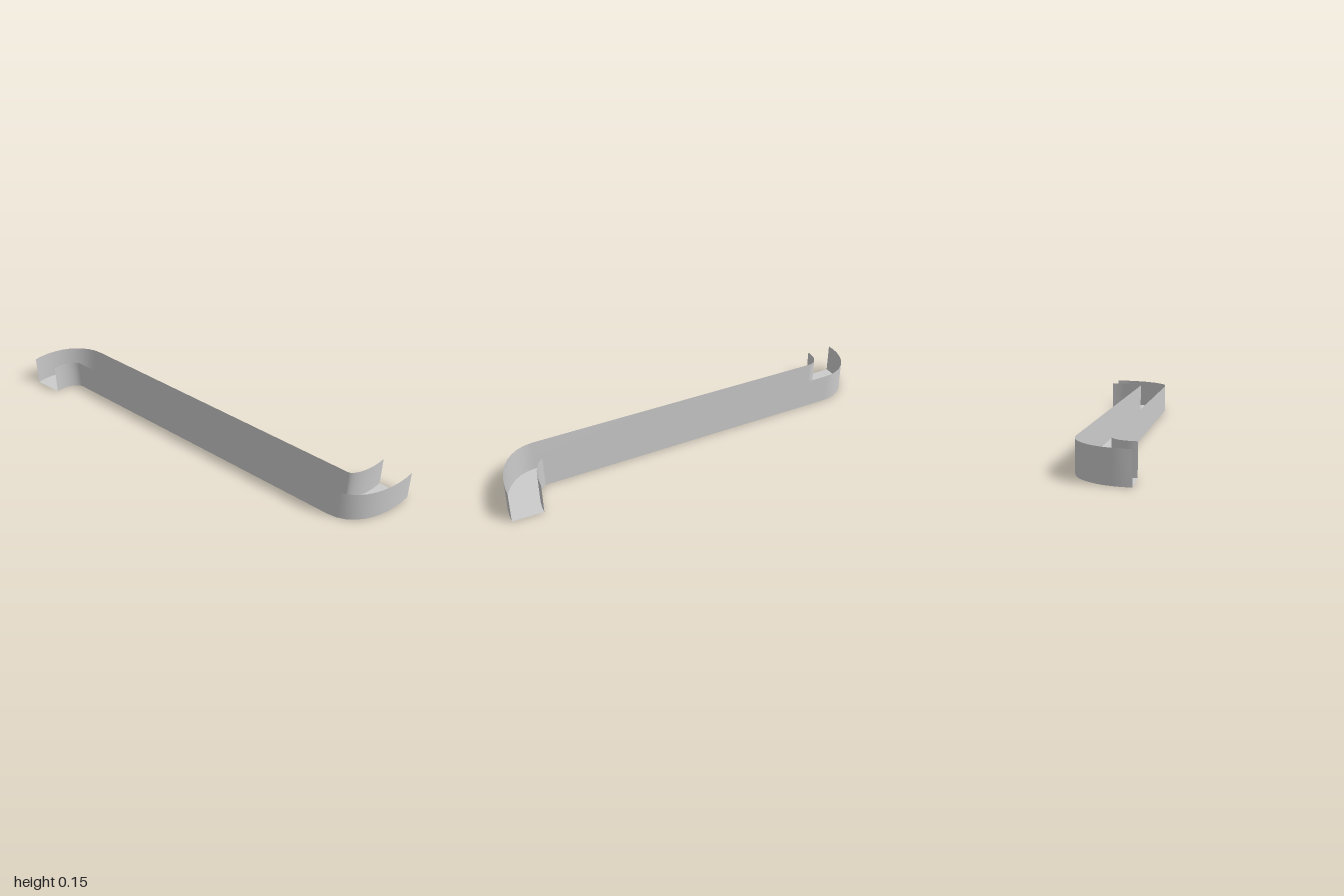
import * as THREE from 'three';

const HEIGHT = 0.146, HALF_WIDTH = 0.0725, BEND_STEPS = 10;
const v = (x, z) => new THREE.Vector2(x, z);

// Strip of quads between two edges, facing (path direction) x (b - a)
function ribbon(name, a, b, material) {
  const positions = [], index = [];
  a.forEach((p, i) => {
    positions.push(...p.toArray(), ...b[i].toArray());
    if (i > 0) {
      const k = 2 * (i - 1);
      index.push(k, k + 2, k + 1, k + 1, k + 2, k + 3);
    }
  });
  const geometry = new THREE.BufferGeometry();
  geometry.setAttribute('position', new THREE.Float32BufferAttribute(positions, 3));
  geometry.setIndex(index);
  geometry.computeVertexNormals();
  const mesh = new THREE.Mesh(geometry, material);
  mesh.name = name;
  return mesh;
}

export function createModel() {
  const group = new THREE.Group();
  group.name = 'channel';
  const material = new THREE.MeshStandardMaterial({ color: 0xcccccc, side: THREE.DoubleSide });

  // Centre line in plan (x, z): back bend, straight run, front bend
  const bends = [
    new THREE.CubicBezierCurve(v(-0.2225, -0.9275), v(-0.115, -0.931), v(-0.03, -0.865), v(-0.03, -0.78)),
    new THREE.CubicBezierCurve(v(-0.03, 0.78), v(-0.03, 0.863), v(0.083, 0.9225), v(0.2225, 0.9275)),
  ];
  // Rails offset to each side of the centre line
  const rail = (side, y) => bends.flatMap((curve) =>
    Array.from({ length: BEND_STEPS + 1 }, (_, i) => {
      const p = curve.getPoint(i / BEND_STEPS), t = curve.getTangent(i / BEND_STEPS);
      return new THREE.Vector3(p.x + side * HALF_WIDTH * t.y, y, p.y - side * HALF_WIDTH * t.x);
    }));

  // Open-topped, open-ended trough: floor and two thin walls
  group.add(
    ribbon('floor', rail(1, 0), rail(-1, 0), material),
    ribbon('leftWall', rail(1, HEIGHT), rail(1, 0), material),
    ribbon('rightWall', rail(-1, 0), rail(-1, HEIGHT), material),
  );
  return group;
}
